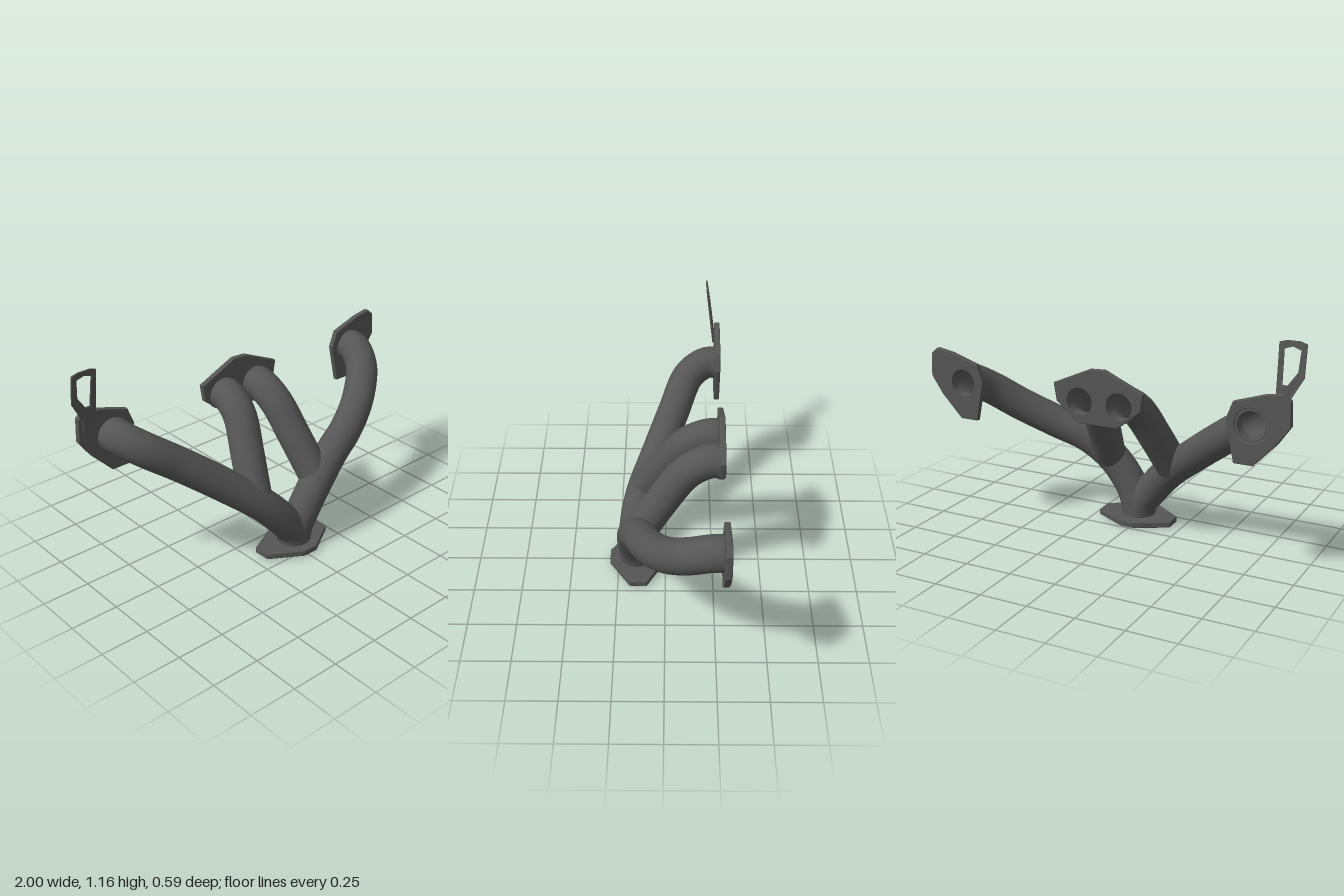
import * as THREE from 'three';

const castIron = new THREE.MeshStandardMaterial({ color: 0x555555, side: THREE.DoubleSide });
castIron.name = 'castIron';

const R = 0.086;      // outer pipe radius
const BORE = 0.07;    // inner pipe radius
const BACK = -0.294;  // mounting face of the port flanges
const PORT = -0.287;  // pipe ends, slightly recessed in the flanges

function addMesh(parent, geometry, name) {
  const mesh = new THREE.Mesh(geometry, castIron);
  mesh.name = name;
  parent.add(mesh);
  return mesh;
}

// Flat disc or ring placed across a curve at parameter t
function addEnd(parent, curve, t, geometry, name) {
  const end = addMesh(parent, geometry, name);
  const dir = curve.getTangentAt(t).multiplyScalar(t === 0 ? -1 : 1);
  end.position.copy(curve.getPointAt(t));
  end.quaternion.setFromUnitVectors(new THREE.Vector3(0, 0, 1), dir);
}

// Hollow pipe: outer skin, bore, rim at the port; the far end is open or capped
function makePipe(name, points, capped) {
  const pipe = new THREE.Group();
  pipe.name = name;
  const curve = new THREE.CatmullRomCurve3(points.map(p => new THREE.Vector3(...p)));
  addMesh(pipe, new THREE.TubeGeometry(curve, 64, R, 32), name + 'Skin');
  addMesh(pipe, new THREE.TubeGeometry(curve, 64, BORE, 24), name + 'Bore');
  addEnd(pipe, curve, 0, new THREE.RingGeometry(BORE, R, 32), name + 'PortRim');
  addEnd(pipe, curve, 1, capped ? new THREE.CircleGeometry(R, 32)
    : new THREE.RingGeometry(BORE, R, 32), name + 'End');
  return pipe;
}

const toPoints = list => list.map(p => new THREE.Vector2(...p));
const circle = (x, y) => new THREE.Path().absarc(x, y, R - 0.004, 0, Math.PI * 2, true);

// Plate with softened edges and holes, extruded along z from 0 to thickness
function plateGeometry(outline, holes, thickness, bevel = 0.005) {
  const shape = new THREE.Shape(toPoints(outline));
  shape.holes.push(...holes);
  const geometry = new THREE.ExtrudeGeometry(shape, {
    depth: thickness - 2 * bevel, bevelEnabled: true, bevelThickness: bevel,
    bevelSize: bevel, bevelOffset: -bevel, bevelSegments: 2, curveSegments: 32,
  });
  return geometry.translate(0, 0, bevel);
}

export function createModel() {
  const model = new THREE.Group();
  model.name = 'exhaustManifold';

  // Long outer pipes running down to the collector
  model.add(makePipe('rightOuterPipe', [
    [-0.775, 0.762, PORT], [-0.775, 0.762, -0.22], [-0.715, 0.72, -0.125], [-0.54, 0.595, -0.04],
    [-0.36, 0.455, 0.045], [-0.18, 0.305, 0.13], [-0.07, 0.185, 0.16],
    [0.0, 0.09, 0.16], [0.012, 0.015, 0.157],
  ], false));
  model.add(makePipe('leftOuterPipe', [
    [0.805, 0.762, PORT], [0.805, 0.762, -0.22], [0.755, 0.70, -0.11], [0.63, 0.595, -0.005],
    [0.46, 0.498, 0.08], [0.30, 0.425, 0.13], [0.17, 0.32, 0.16],
    [0.07, 0.19, 0.167], [0.025, 0.09, 0.16], [0.015, 0.015, 0.157],
  ], false));

  // Short inner pipes joining the outer ones
  model.add(makePipe('rightInnerPipe', [
    [-0.097, 0.755, PORT], [-0.097, 0.755, -0.22], [-0.115, 0.695, -0.115],
    [-0.16, 0.53, -0.002], [-0.205, 0.35, 0.107],
  ], true));
  model.add(makePipe('leftInnerPipe', [
    [0.12, 0.755, PORT], [0.12, 0.755, -0.22], [0.125, 0.695, -0.11],
    [0.147, 0.53, 0.015], [0.178, 0.345, 0.135],
  ], true));

  // Outer port flanges, one outline mirrored about each port
  const sideOutline = [
    [0.15, 0.93], [0.185, 0.90], [0.19, 0.78], [0.125, 0.685], [0.015, 0.57],
    [-0.082, 0.57], [-0.125, 0.78], [-0.092, 0.866], [0.06, 0.915],
  ];
  for (const [name, side, portX] of [['left', 1, 0.805], ['right', -1, -0.775]]) {
    const outline = sideOutline.map(([x, y]) => [portX + side * x, y]);
    addMesh(model, plateGeometry(outline, [circle(portX, 0.762)], 0.03), name + 'PortFlange')
      .position.z = BACK;
  }

  // Shared flange for the two inner ports
  addMesh(model, plateGeometry([
    [-0.02, 0.928], [0.06, 0.924], [0.26, 0.835], [0.245, 0.745],
    [0.125, 0.645], [-0.09, 0.645], [-0.215, 0.745], [-0.228, 0.835],
  ], [circle(-0.097, 0.755), circle(0.12, 0.755)], 0.03), 'centrePortFlange')
    .position.z = BACK;

  // Collector flange, slightly tilted: a thin plate with a rim hanging below it
  const collectorOutline = [
    [-0.21, -0.035], [-0.21, 0.055], [-0.045, 0.143], [0.035, 0.143],
    [0.205, 0.055], [0.205, -0.035], [0.035, -0.143], [-0.045, -0.143],
  ];
  const collector = new THREE.Group();
  collector.name = 'collectorFlange';
  collector.position.set(0.014, 0.004, 0.153);
  collector.rotation.x = -Math.PI / 2 - 0.025;
  addMesh(collector, plateGeometry(collectorOutline, [circle(0, 0)], 0.016, 0.003), 'collectorPlate')
    .position.z = 0.014;
  const inset = new THREE.Path(toPoints(collectorOutline.map(([x, y]) => [x * 0.88, y * 0.88])));
  addMesh(collector, plateGeometry(collectorOutline, [inset], 0.018, 0.003), 'collectorRim');
  model.add(collector);

  // Thin lifting bracket leaning forward from the right flange
  const bracket = new THREE.Shape(toPoints([
    [-1.0, 1.15], [-0.965, 1.16], [-0.905, 1.16], [-0.87, 1.15],
    [-0.875, 0.83], [-0.94, 0.83], [-0.94, 0.89], [-1.0, 1.0],
  ]));
  bracket.holes.push(new THREE.Path(toPoints([
    [-0.975, 1.122], [-0.97, 1.025], [-0.925, 0.96], [-0.9, 0.96], [-0.895, 1.122], [-0.935, 1.135],
  ])));
  const bracketGeometry = new THREE.ExtrudeGeometry(bracket, { depth: 0.008, bevelEnabled: false });
  const pos = bracketGeometry.attributes.position;
  for (let i = 0; i < pos.count; i++) {
    pos.setZ(i, pos.getZ(i) - 0.263 + Math.max(0, pos.getY(i) - 0.89) * 0.15);
  }
  bracketGeometry.computeVertexNormals();
  addMesh(model, bracketGeometry, 'liftingBracket');

  return model;
}
